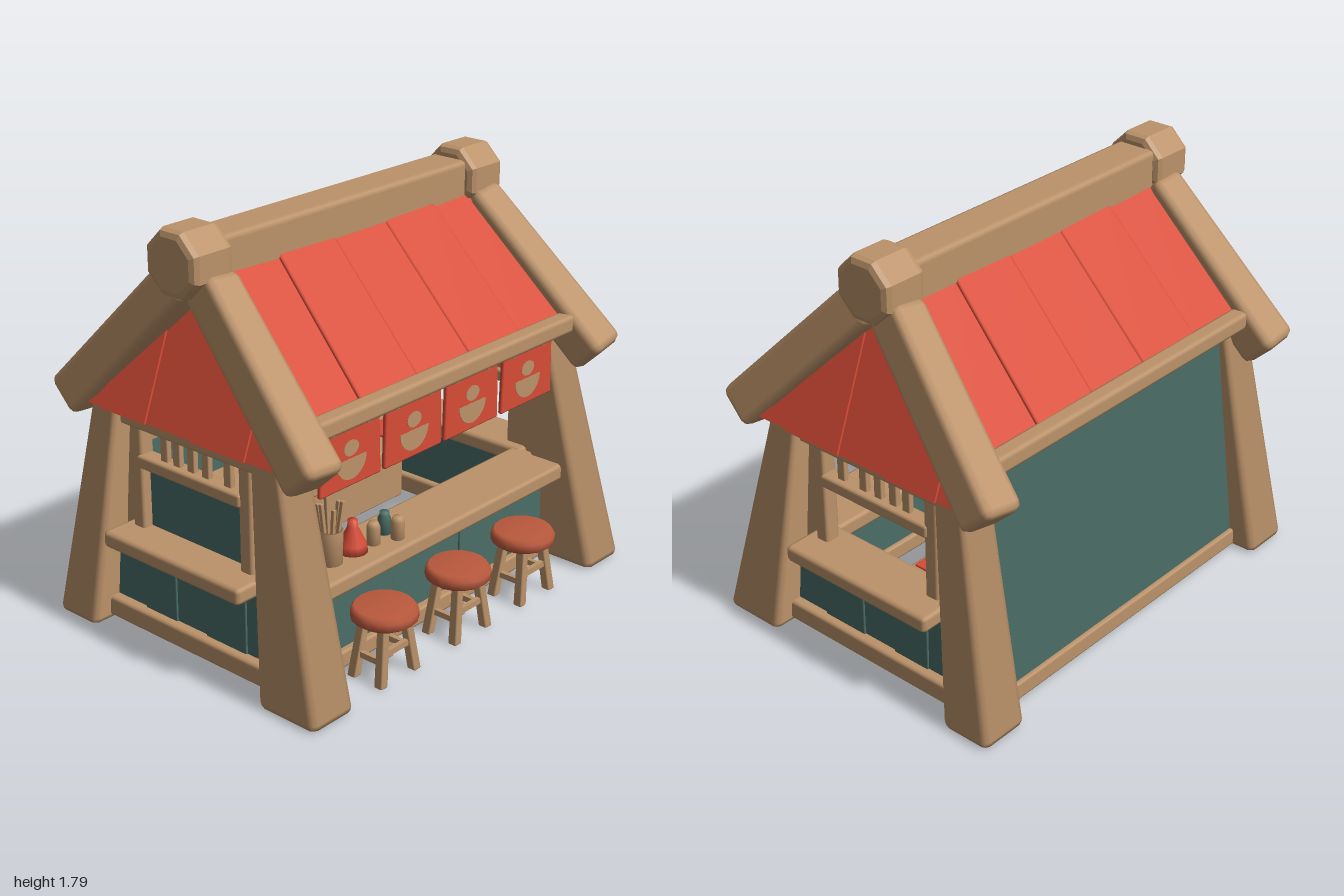
import * as THREE from 'three';
import { RoundedBoxGeometry } from 'three/addons/geometries/RoundedBoxGeometry.js';

export function createModel() {
  const root = new THREE.Group();
  root.name = 'foodStall';
  const mat = (name, color) => {
    const m = new THREE.MeshStandardMaterial({ color });
    m.name = name;
    return m;
  };
  const wood = mat('wood', 0xbb9269);
  const red = mat('red', 0xd84c37);
  const teal = mat('teal', 0x4b6d67);
  const seatRed = mat('seatRed', 0xba593d);

  const C = -0.025; // depth of the ridge line
  const lerp = THREE.MathUtils.lerp;
  const add = (name, geo, m, parent = root) => {
    const mesh = new THREE.Mesh(geo, m);
    mesh.name = name;
    parent.add(mesh);
    return mesh;
  };

  // Box given by its limits on each axis, with softened edges
  const block = (name, m, [x0, x1], [y0, y1], [z0, z1], r = 0.012) => {
    const g = new RoundedBoxGeometry(x1 - x0, y1 - y0, z1 - z0, 1, r);
    g.translate((x0 + x1) / 2, (y0 + y1) / 2, (z0 + z1) / 2);
    return add(name, g, m);
  };

  // Tapered timber standing along y
  const taper = (len, [w0, d0], [w1, d1], r) => {
    const g = new RoundedBoxGeometry(w0, len, d0, 1, r);
    const p = g.attributes.position;
    for (let i = 0; i < p.count; i++) {
      const t = p.getY(i) / len + 0.5;
      p.setX(i, p.getX(i) * lerp(1, w1 / w0, t));
      p.setZ(i, p.getZ(i) * lerp(1, d1 / d0, t));
    }
    return g;
  };

  // Leaning timber with level ends
  const post = (name, m, a, b, s0, s1 = s0, r = 0.03, parent = root) => {
    const len = b[1] - a[1];
    const g = taper(len, s0, s1, r);
    const p = g.attributes.position;
    for (let i = 0; i < p.count; i++) {
      const t = p.getY(i) / len + 0.5;
      p.setXYZ(i, p.getX(i) + lerp(a[0], b[0], t), p.getY(i) + (a[1] + b[1]) / 2, p.getZ(i) + lerp(a[2], b[2], t));
    }
    return add(name, g, m, parent);
  };

  // Sloping timber with square ends
  const beam = (name, m, a, b, s0, s1 = s0, r = 0.03) => {
    const A = new THREE.Vector3(...a), B = new THREE.Vector3(...b);
    const dir = B.clone().sub(A);
    const mesh = add(name, taper(dir.length(), s0, s1, r), m);
    mesh.position.copy(A).add(B).multiplyScalar(0.5);
    mesh.quaternion.setFromUnitVectors(new THREE.Vector3(0, 1, 0), dir.normalize());
    return mesh;
  };

  const lathe = (name, m, pts, pos, seg = 14) => {
    const g = new THREE.LatheGeometry(pts.map(p => new THREE.Vector2(...p)), seg);
    add(name, g, m).position.set(...pos);
  };

  // Eight-sided ridge cap with chamfered ends
  const octagon = new THREE.Shape(Array.from({ length: 8 }, (_, i) => {
    const a = (i + 0.5) * Math.PI / 4;
    return new THREE.Vector2(0.11 * Math.cos(a), 0.11 * Math.sin(a));
  }));
  const capGeo = new THREE.ExtrudeGeometry(octagon, { depth: 0.15, bevelSize: 0.03, bevelThickness: 0.028, bevelSegments: 2 });
  capGeo.translate(0, 0, -0.075).rotateY(Math.PI / 2);

  // Corner posts, rafters and ridge caps
  for (const s of [-1, 1]) {
    const topX = s < 0 ? -0.815 : 0.75;
    post('frontPost', wood, [s * 0.88, 0, 0.57], [s * 0.825, 1.03, 0.385], [0.23, 0.295], [0.17, 0.13]);
    post('backPost', wood, [s * 0.88, 0, -0.627], [s * 0.825, 1.03, -0.475], [0.23, 0.23], [0.17, 0.13]);
    for (const f of [-1, 1])
      beam('rafter', wood, [s * 0.88, 0.962, C + f * 0.655], [topX, 1.575, C + f * 0.065], [0.19, 0.185], [0.165, 0.175], 0.035);
    add('ridgeCap', capGeo, wood).position.set(s < 0 ? -0.85 : 0.755, 1.66, C);
  }
  block('ridgeBeam', wood, [-0.8, 0.72], [1.56, 1.745], [C - 0.1, C + 0.09], 0.025);

  // Roof boards, alternately raised, and eave beams
  const cuts = [-1, -0.63, -0.21, 0.2, 0.61, 1];
  for (const f of [-1, 1]) {
    for (let i = 0; i < 5; i++) {
      const mid = (cuts[i] + cuts[i + 1]) / 2, w = cuts[i + 1] - cuts[i];
      const lift = (i % 2) * 0.008;
      beam('roofBoard', red, [mid * 0.79, 1.1 + lift, C + f * 0.525], [mid * 0.74, 1.59 + lift, C + f * 0.06],
        [w * 0.8, 0.05], [w * 0.75, 0.05], 0.01);
    }
    const z = C + f * 0.555;
    block('eaveBeam', wood, [-0.79, 0.79], [1.07, 1.15], [z - 0.04, z + 0.04], 0.02);
    block('lowerEaveBeam', wood, [-0.78, 0.78], [1.02, 1.08], [C + f * 0.475 - 0.03, C + f * 0.475 + 0.03], 0.015);
  }

  // Flared gable boards
  const edges = [-0.54, -0.43, -0.18, 0.075, 0.355, 0.53];
  const roofLine = z => 1.57 - Math.abs(z) * 1.05;
  for (const s of [-1, 1]) {
    for (let i = 0; i < 5; i++) {
      const a = edges[i], b = edges[i + 1], out = 0.94 + (i % 2) * 0.01;
      const pts = [[a, 0.98], [b, 0.98], [b, roofLine(b)]];
      if (a < 0 && b > 0) pts.push([0, roofLine(0)]);
      pts.push([a, roofLine(a)]);
      const shape = new THREE.Shape(pts.map(p => new THREE.Vector2(...p)));
      const g = new THREE.ExtrudeGeometry(shape, { depth: 0.05, bevelEnabled: false });
      g.rotateY(-Math.PI / 2);
      const p = g.attributes.position;
      for (let k = 0; k < p.count; k++)
        p.setX(k, p.getX(k) + (s < 0 ? 0.05 : 0) + s * (out - (p.getY(k) - 0.98) * 0.38));
      g.translate(0, 0, C);
      g.computeVertexNormals();
      add('gableBoard', g, red);
    }
  }

  // Front wall, counter and base
  const boards = [-0.78, -0.63, -0.25, 0.19, 0.56, 0.78];
  for (let i = 0; i < 5; i++)
    block('frontPanel', teal, [boards[i] - 0.006, boards[i + 1] + 0.006], [0.07, 0.4], [0.42, 0.445 + (i % 2) * 0.008], 0.005);
  block('frontSill', wood, [-0.8, 0.8], [0.01, 0.085], [0.4, 0.48]);
  block('frontCounter', wood, [-0.79, 0.79], [0.39, 0.465], [0.27, 0.55], 0.018);

  // Back wall
  post('backWall', teal, [0, 0.06, -0.6], [0, 1.06, -0.485], [1.6, 0.04], [1.56, 0.04], 0.008);
  block('backSill', wood, [-0.8, 0.8], [0.01, 0.09], [-0.635, -0.55]);

  // Side walls with serving windows
  for (const s of [-1, 1]) {
    const span = (a, b) => (s > 0 ? [a, b] : [-b, -a]);
    const sides = [-0.53, -0.32, -0.15, 0.03, 0.24, 0.47];
    for (let i = 0; i < 5; i++)
      block('sidePanel', teal, span(0.84, 0.865 + (i % 2) * 0.008), [0.09, 0.41], [sides[i] - 0.006, sides[i + 1] + 0.006], 0.005);
    block('sideSill', wood, span(0.81, 0.91), [0.025, 0.115], [-0.55, 0.5], 0.015);
    block('sideShelf', wood, span(0.75, 0.995), [0.4, 0.47], [-0.43, 0.33], 0.018);
    block('sideLintel', wood, span(0.78, 0.88), [0.9, 0.99], [-0.45, 0.38], 0.015);
    for (const z of [-0.353, 0.25])
      block('windowPost', wood, span(0.8, 0.87), [0.45, 0.92], [z - 0.032, z + 0.032]);
    block('windowJamb', wood, span(0.8, 0.83), [0.4, 0.92], [0.26, 0.4], 0.006);
    block('windowJamb', wood, span(0.8, 0.83), [0.4, 0.92], [-0.47, -0.36], 0.006);
    block('windowRail', wood, span(0.8, 0.88), [0.735, 0.79], [-0.34, 0.23]);
    for (const z of [-0.21, -0.14, -0.06, 0.02, 0.14])
      block('windowSlat', wood, span(0.825, 0.85), [0.78, 0.91], [z - 0.02, z + 0.02], 0.005);
  }
  block('windowShutter', teal, [-0.825, -0.805], [0.45, 0.75], [-0.34, 0.24], 0.005);

  // Hanging banners with a bowl motif and straps
  const bowl = new THREE.Shape();
  bowl.moveTo(-0.085, 0.92);
  bowl.absarc(0, 0.92, 0.085, Math.PI, Math.PI * 2, false);
  const food = new THREE.Shape();
  food.absellipse(0, 0.963, 0.042, 0.032, 0, Math.PI * 2, false);
  [-0.553, -0.187, 0.177, 0.545].forEach(x => {
    const banner = new THREE.Group();
    banner.name = 'banner';
    post('cloth', red, [0, 0.805, 0.495], [0, 1.062, 0.495], [0.345, 0.02], [0.33, 0.02], 0.008, banner);
    for (const [n, sh] of [['bowlPatch', bowl], ['foodPatch', food]]) {
      const g = new THREE.ExtrudeGeometry(sh, { depth: 0.004, bevelEnabled: false, curveSegments: 10 });
      add(n, g, wood, banner).position.z = 0.503;
    }
    for (const sx of [-0.1, 0.1])
      post('strap', wood, [sx, 1.035, 0.5], [sx, 1.085, 0.5], [0.025, 0.02], [0.025, 0.02], 0.004, banner);
    banner.position.x = x;
    root.add(banner);
  });

  // Stools
  [-0.465, -0.01, 0.425].forEach(x => {
    const stool = new THREE.Group();
    stool.name = 'stool';
    const seat = new THREE.LatheGeometry([[0, 0.235], [0.115, 0.235], [0.135, 0.25], [0.135, 0.28], [0.12, 0.3], [0, 0.3]]
      .map(p => new THREE.Vector2(...p)), 18);
    add('seat', seat, seatRed, stool);
    for (const sx of [-1, 1]) {
      for (const sz of [-1, 1])
        post('stoolLeg', wood, [sx * 0.1, 0, sz * 0.07], [sx * 0.065, 0.245, sz * 0.05], [0.04, 0.04], [0.036, 0.036], 0.006, stool);
      const bar = new THREE.BoxGeometry(0.02, 0.025, 0.13);
      add('stoolRung', bar, wood, stool).position.set(sx * 0.085, 0.1, 0);
    }
    add('stoolCrossRung', new THREE.BoxGeometry(0.16, 0.025, 0.02), wood, stool).position.set(0, 0.13, 0.06);
    stool.position.set(x, 0, 0.6);
    root.add(stool);
  });

  // Kitchen counter at the back, with apron, cabinet, mat and tray
  block('backCounter', wood, [-0.79, 0.79], [0.39, 0.455], [-0.56, -0.12]);
  block('counterApron', wood, [-0.78, 0.5], [0.2, 0.4], [-0.16, -0.13], 0.006);
  block('cabinet', wood, [-0.76, -0.42], [0.2, 0.4], [-0.5, -0.15]);
  block('servingMat', red, [0.48, 0.74], [0.45, 0.464], [-0.36, -0.14], 0.005);
  lathe('redMound', red, [[0, 0], [0.09, 0], [0.06, 0.05], [0, 0.065]], [-0.7, 0.455, -0.23]);
  block('tray', wood, [-0.23, 0.4], [0.51, 0.54], [-0.44, -0.28], 0.008);
  for (const x of [-0.16, 0.33]) block('trayFoot', wood, [x - 0.02, x + 0.02], [0.45, 0.515], [-0.42, -0.3], 0.006);
  lathe('lidPot', wood, [[0, 0], [0.05, 0], [0.07, 0.035], [0.05, 0.07], [0.015, 0.085], [0.02, 0.11], [0, 0.12]], [-0.16, 0.54, -0.36]);
  lathe('smallPot', wood, [[0, 0], [0.035, 0], [0.05, 0.03], [0.03, 0.06], [0, 0.07]], [-0.02, 0.54, -0.36]);
  for (const x of [0.21, 0.3])
    lathe('tealBowl', teal, [[0, 0], [0.03, 0], [0.055, 0.06], [0.045, 0.06], [0, 0.03]], [x, 0.54, -0.36]);

  // Notices on the back wall
  block('wallNotice', wood, [-0.68, -0.44], [0.74, 0.9], [-0.51, -0.487], 0.004);
  block('wallNotice', wood, [-0.76, -0.69], [0.55, 0.66], [-0.53, -0.507], 0.004);
  block('redNotice', red, [-0.43, -0.28], [0.77, 0.9], [-0.51, -0.487], 0.004);
  block('redNotice', red, [0.58, 0.74], [0.765, 0.9], [-0.51, -0.487], 0.004);

  // Chopstick cup, sauce bottles and jars on the front counter
  lathe('chopstickCup', wood, [[0, 0], [0.05, 0], [0.052, 0.145], [0.042, 0.145], [0.04, 0.03], [0, 0.03]], [-0.58, 0.46, 0.42]);
  for (let i = 0; i < 6; i++) {
    const a = i * 1.05, c = Math.cos(a), s = Math.sin(a);
    post('chopstick', wood, [-0.58 + c * 0.02, 0.5, 0.42 + s * 0.02], [-0.58 + c * 0.05, 0.71 + 0.02 * (i % 2), 0.42 + s * 0.05], [0.014, 0.014], [0.016, 0.016], 0.002);
  }
  lathe('sauceBottle', red, [[0, 0], [0.062, 0], [0.055, 0.04], [0.022, 0.11], [0.02, 0.14], [0, 0.14]], [-0.45, 0.46, 0.42]);
  lathe('tealBottle', teal, [[0, 0], [0.028, 0], [0.028, 0.07], [0.02, 0.085], [0.02, 0.1], [0, 0.1]], [-0.25, 0.46, 0.41]);
  for (const [x, z] of [[-0.35, 0.44], [-0.25, 0.48]])
    lathe('jar', wood, [[0, 0], [0.028, 0], [0.028, 0.08], [0.02, 0.1], [0, 0.1]], [x, 0.46, z], 10);

  return root;
}
